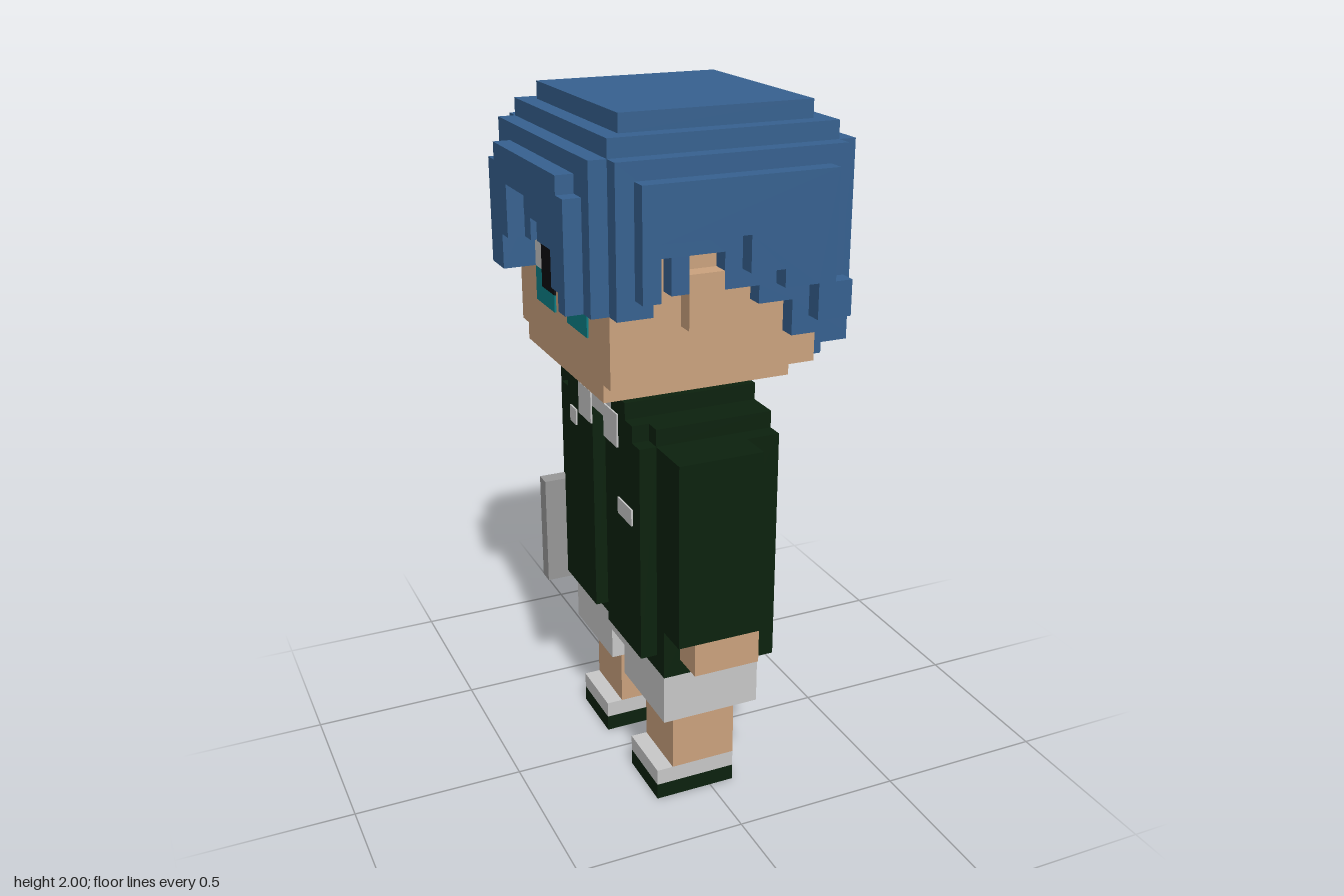
import * as THREE from 'three';

const V = 2 / 41; // size of one block
const mat = (name, color) => {
  const m = new THREE.MeshStandardMaterial({ color });
  m.name = name;
  return m;
};

export function createModel() {
  const skin = mat('skin', 0xcda47f);
  const blue = mat('hair blue', 0x376291);
  const green = mat('dark green', 0x0c220e);
  const white = mat('off white', 0xcacaca);
  const grey = mat('grey', 0x999999);
  const yellow = mat('yellow', 0xcca510);
  const teal = mat('teal', 0x0b8088);
  const black = mat('black', 0x0c0c10);

  const model = new THREE.Group();
  model.name = 'blockCharacter';
  model.scale.setScalar(V);

  const add = (name, geometry, material) => {
    const mesh = new THREE.Mesh(geometry, material);
    mesh.name = name;
    model.add(mesh);
    return mesh;
  };
  // Box given by its limits, in blocks
  const box = (name, m, x0, x1, y0, y1, z0, z1) =>
    add(name, new THREE.BoxGeometry(x1 - x0, y1 - y0, z1 - z0), m)
      .position.set((x0 + x1) / 2, (y0 + y1) / 2, (z0 + z1) / 2);
  // The same box on both sides of the body
  const pair = (name, m, x0, x1, y0, y1, z0, z1) => {
    box(name + 'Near', m, x0, x1, y0, y1, z0, z1);
    box(name + 'Far', m, x0, x1, y0, y1, -z1, -z0);
  };
  // Sheet of hair one block thick with a stepped lower edge: steps of [start, end, bottom]
  const sheet = (top, steps) => {
    const s = new THREE.Shape();
    s.moveTo(steps[0][0], top);
    for (const [a, b, y] of steps) s.lineTo(a, y).lineTo(b, y);
    s.lineTo(steps[steps.length - 1][1], top);
    return new THREE.ExtrudeGeometry(s, { depth: 1, bevelEnabled: false });
  };

  // Head, facing -x
  box('head', skin, -6.5, 5.5, 27, 37, -7, 7);
  box('jaw', skin, -6.5, 4.5, 26, 27, -6, 6);
  box('neck', skin, -2.5, 1.5, 24.5, 26, -2, 2);
  pair('ear', skin, -2.5, -0.5, 30, 33, 7, 8);

  // Eyes as thin plates
  const e0 = -6.6, e1 = -6.5;
  pair('pupil', black, e0, e1, 30, 33, 1, 3);
  pair('irisBottom', teal, e0, e1, 29, 30, 1, 4);
  pair('irisSide', teal, e0, e1, 30, 31, 3, 4);
  pair('eyeWhite', white, e0, e1, 31, 33, 3, 4);

  // Crown of the hair
  box('crownTop', blue, -5.5, 5.5, 40, 41, -6, 6);
  box('crownMiddle', blue, -6.5, 6.5, 39, 40, -7, 7);
  box('crownBase', blue, -6.5, 6.5, 37, 39, -7, 7);

  // Hair over the sides, in two layers
  const sideInner = [[-6.5, -4.5, 31], [-4.5, -3.5, 34], [-3.5, -2.5, 32], [-2.5, -0.5, 34],
    [-0.5, 1.5, 32], [1.5, 3.5, 31], [3.5, 6.5, 29]];
  const sideOuter = [[-5.5, -4.5, 32], [-4.5, 0.5, 35], [0.5, 2.5, 33], [2.5, 4.5, 32], [4.5, 5.5, 30]];
  for (const z of [7, -8]) add('sideHairInner', sheet(39, sideInner), blue).position.z = z;
  for (const z of [8, -9]) add('sideHairOuter', sheet(38, sideOuter), blue).position.z = z;
  box('sideLock', blue, 5.5, 6.5, 30, 32, 8, 9);

  // Fringe over the face, in two layers
  const fringeInner = [[-7, -4, 31], [-4, -2, 33], [-2, 1, 35], [1, 4, 34], [4, 5, 33], [5, 7, 31]];
  const fringeOuter = [[-5, -4, 31], [-4, -3, 33], [-3, 0, 36], [0, 2, 35], [2, 4, 34], [4, 5, 32]];
  const frontSheet = (name, top, steps, x) => {
    const f = add(name, sheet(top, steps), blue);
    f.rotation.y = -Math.PI / 2;
    f.position.x = x;
  };
  frontSheet('fringeInner', 39, fringeInner, -6.5);
  frontSheet('fringeOuter', 38, fringeOuter, -7.5);
  pair('fringeLock', blue, -8.5, -7.5, 31, 37, 5, 6);

  // Hair down the back
  box('backHairNape', blue, 5.5, 6.5, 27, 37, -6, 6);
  pair('backHairEdge', blue, 5.5, 6.5, 28, 37, 6, 7);
  box('backHair', blue, 6.5, 7.5, 28, 39, -7, 7);
  box('backHairPanel', blue, 7.5, 8.5, 31, 38, -5, 5);

  // Jacket: body, shoulders and open front flaps
  box('jacketBody', green, -3.5, 3.5, 9, 23, -7, 7);
  box('jacketShoulders', green, -3.5, 3.5, 23, 24, -5, 6);
  box('jacketCollar', green, -3.5, 3.5, 24, 25, -4, 4);
  pair('jacketFlap', green, -4.5, -3.5, 10, 23, 1, 6);
  pair('flapShoulder', green, -4.5, -3.5, 23, 24, 2, 5);
  pair('flapCollar', green, -4.5, -3.5, 24, 25, 2, 4);
  box('shirtStrip', white, -3.6, -3.5, 10, 23, -1, 1);
  box('shirtNeck', white, -4.4, -3.5, 23, 25, -2, 2);
  pair('shirtCollar', white, -4.6, -4.5, 22, 24, 1, 3);
  box('smallBadge', white, -4.6, -4.5, 21, 22, -4.5, -3.5);
  box('wideBadge', white, -4.6, -4.5, 18, 19, 3, 5);

  // Arms; the far hand hangs one block higher
  for (const [side, z0, z1, y] of [['near', 7, 9, 12], ['far', -9, -7, 13]]) {
    box(side + 'Sleeve', green, -3.5, 1.5, y, 23, z0, z1);
    box(side + 'Hand', skin, -2.5, 1.5, y - 2, y, z0, z1);
  }

  // Flat board carried under the far arm
  box('board', grey, -5.5, 4.5, 9, 16, -8, -7);

  // Smiling face patch on the back, with cut-out eyes and mouth
  const patch = new THREE.Shape();
  [[-2, 13], [3, 13], [3, 14], [4, 14], [4, 19], [3, 19], [3, 20], [-2, 20], [-2, 19],
    [-3, 19], [-3, 14], [-2, 14]].forEach(([z, y], i) => (i ? patch.lineTo(z, y) : patch.moveTo(z, y)));
  for (const [a, b, c, d] of [[1, 2, 17, 19], [-1, 0, 17, 19], [-1, 2, 14, 16]]) {
    patch.holes.push(new THREE.Path().moveTo(a, c).lineTo(a, d).lineTo(b, d).lineTo(b, c));
  }
  const patchMesh = add('backPatch', new THREE.ExtrudeGeometry(patch, { depth: 1, bevelEnabled: false }), yellow);
  patchMesh.rotation.y = -Math.PI / 2;
  patchMesh.position.x = 4.5;

  // Shorts, legs and shoes
  box('shortsWaist', white, -3.5, 2.5, 8, 9, -7, 7);
  pair('shortsLeg', white, -3.5, 2.5, 6, 8, 1, 7);
  pair('leg', skin, -2.5, 1.5, 2, 6, 2, 6);
  pair('shoe', white, -3.5, 1.5, 1, 2, 2, 6);
  pair('sole', green, -3.5, 1.5, 0, 1, 2, 6);

  const root = new THREE.Group();
  root.name = 'character';
  root.add(model);
  return root;
}
